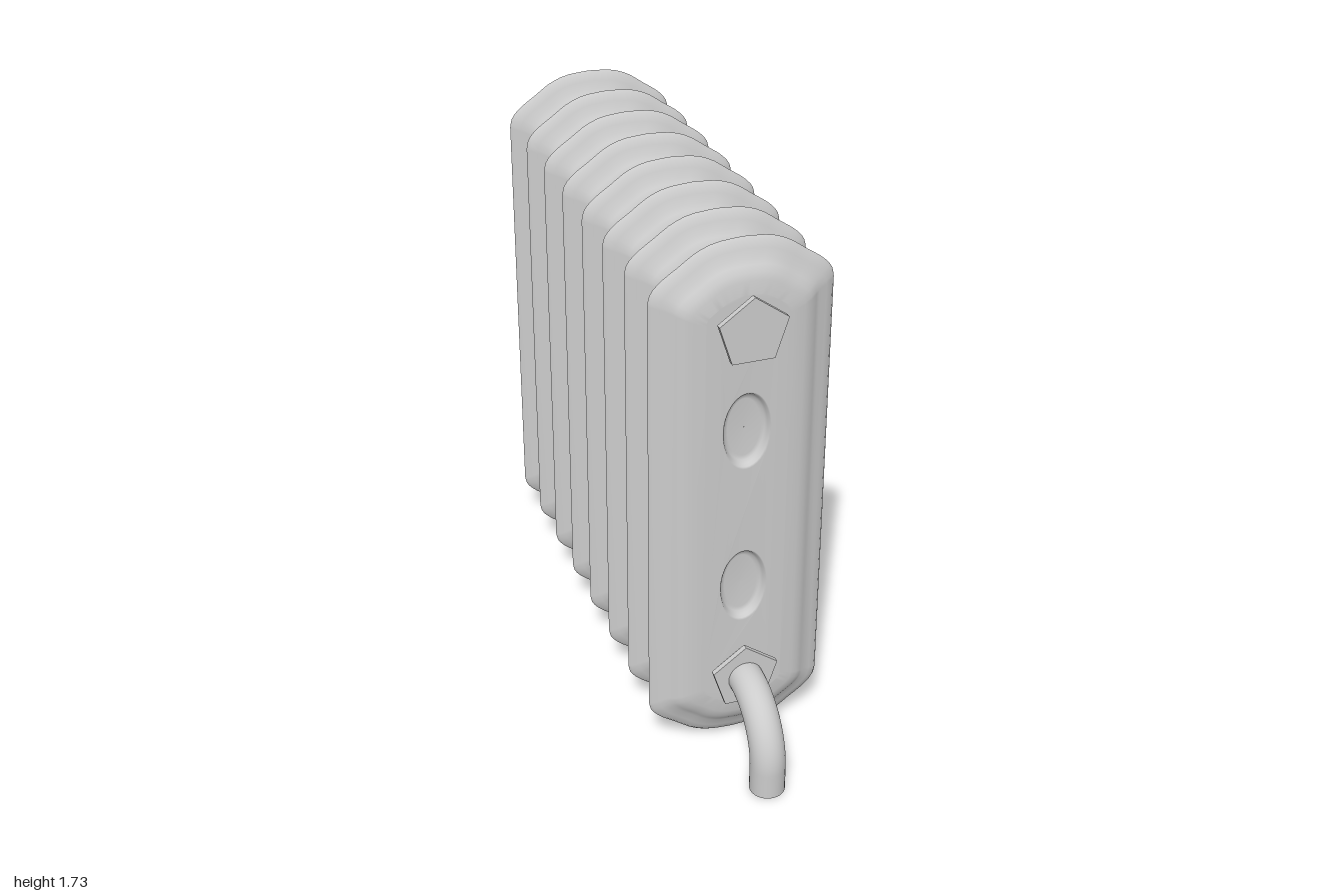
import * as THREE from 'three';
import { mergeGeometries, mergeVertices } from 'three/addons/utils/BufferGeometryUtils.js';

const MID_Y = 0.87, TOP_Y = 1.475, LOW_Y = 0.28;
const material = new THREE.MeshStandardMaterial({ color: 0xcccccc, side: THREE.DoubleSide });

// Quarter of the rounded end, as fractions of half width and cap height
const corner = new THREE.SplineCurve([
  [1, 0], [0.97, 0.2], [0.86, 0.4], [0.68, 0.61], [0.49, 0.83], [0.28, 0.96], [0, 1],
].map(([x, y]) => new THREE.Vector2(x, y))).getPoints(14);

// Counter-clockwise outline of a section, shrunk by an inset
function outline(inset) {
  const w = 0.28 - inset, h = 0.857 - inset, s = 0.69 - 0.4 * inset;
  const q = corner.map((p) => [p.x * w, s + p.y * (h - s)]);
  const half = [...q, ...q.slice(0, -1).reverse().map(([x, y]) => [-x, y])];
  return [...half, ...half.map(([x, y]) => [-x, -y])];
}

function ellipse(rx, ry, cy) {
  return Array.from({ length: 40 }, (_, i) => {
    const a = (i / 40) * Math.PI * 2;
    return [rx * Math.cos(a), cy + ry * Math.sin(a)];
  });
}

// Skin between successive loops, each { pts, z }
function loft(loops) {
  const n = loops[0].pts.length, pos = [], idx = [];
  loops.forEach(({ pts, z }) => pts.forEach(([x, y]) => pos.push(x, y, z)));
  for (let r = 0; r < loops.length - 1; r++) {
    for (let i = 0; i < n; i++) {
      const a = r * n + i, b = r * n + ((i + 1) % n);
      idx.push(a, b, b + n, a, b + n, a + n);
    }
  }
  const g = new THREE.BufferGeometry();
  g.setAttribute('position', new THREE.Float32BufferAttribute(pos, 3));
  g.setIndex(idx);
  return g;
}

const toShape = (pts, C = THREE.Shape) => new C(pts.map(([x, y]) => new THREE.Vector2(x, y)));

// Front half of a section: stepped rim, flat face and two oval dimples
function sectionHalf() {
  const rim = [[0, 0], [0.008, 0.01], [0.03, 0.02], [0.055, 0.028], [0.07, 0.041],
    [0.088, 0.053], [0.11, 0.06], [0.15, 0.065]];
  const parts = [loft(rim.map(([d, z]) => ({ pts: outline(d), z })))];
  const face = toShape(outline(0.15));
  for (const cy of [-0.27, 0.27]) {
    face.holes.push(toShape(ellipse(0.076, 0.128, cy), THREE.Path));
    const dimple = [[0.076, 0.128, 0.065], [0.072, 0.122, 0.062], [0.068, 0.116, 0.052],
      [0.063, 0.108, 0.043], [0.052, 0.095, 0.039], [0.0005, 0.0005, 0.038]];
    parts.push(loft(dimple.map(([rx, ry, z]) => ({ pts: ellipse(rx, ry, cy), z }))));
  }
  const flat = new THREE.ShapeGeometry(face);
  flat.translate(0, 0, 0.065);
  parts.push(flat);
  parts.forEach((g) => { g.deleteAttribute('normal'); g.deleteAttribute('uv'); });
  const merged = mergeVertices(mergeGeometries(parts), 1e-5);
  merged.computeVertexNormals();
  return merged;
}

export function createModel() {
  const group = new THREE.Group();
  const add = (name, geo, x = 0, y = 0, z = 0, parent = group) => {
    const m = new THREE.Mesh(geo, material);
    m.name = name;
    m.position.set(x, y, z);
    parent.add(m);
    return m;
  };

  // Eight radiator sections, each two mirrored halves
  const half = sectionHalf();
  for (let i = 0; i < 8; i++) {
    const section = new THREE.Group();
    section.name = 'section' + (i + 1);
    section.position.set(0, MID_Y, 0.65 - i * 0.2);
    add('frontShell', half, 0, 0, 0, section);
    add('backShell', half, 0, 0, 0, section).rotation.y = Math.PI;
    group.add(section);
  }

  // Flared oval necks joining the sections
  const neckProfile = [[0.082, -0.038], [0.067, -0.033], [0.057, -0.024], [0.053, -0.012],
    [0.053, 0.012], [0.057, 0.024], [0.067, 0.033], [0.082, 0.038]];
  const neck = new THREE.LatheGeometry(neckProfile.map((p) => new THREE.Vector2(...p)), 32);
  neck.rotateX(Math.PI / 2);
  neck.scale(1.32, 1, 1);
  for (let i = 0; i < 7; i++) {
    for (const y of [TOP_Y, LOW_Y]) add('neck', neck, 0, y, 0.55 - i * 0.2);
  }

  // Five-sided end plugs on both ends
  const pentagon = (r, depth) => {
    const pts = Array.from({ length: 5 }, (_, i) => {
      const a = Math.PI / 2 + (i * Math.PI * 2) / 5;
      return [r * Math.cos(a), r * Math.sin(a)];
    });
    const g = new THREE.ExtrudeGeometry(toShape(pts), { depth, bevelEnabled: false });
    g.translate(0, 0, -depth / 2);
    return g;
  };
  const plate = pentagon(0.11, 0.018), backing = pentagon(0.09, 0.03);
  for (const s of [1, -1]) {
    for (const y of [TOP_Y, LOW_Y]) {
      add('endPlug', plate, 0, y, -0.05 + s * 0.792);
      add('plugCollar', backing, 0, y, -0.05 + s * 0.775);
    }
  }

  // Supply pipe bending down to the floor
  const v = (y, z) => new THREE.Vector3(0, y, z);
  const path = new THREE.CurvePath();
  const k = 0.195 * 0.5523;
  path.add(new THREE.LineCurve3(v(0.278, 0.72), v(0.278, 0.75)));
  path.add(new THREE.CubicBezierCurve3(v(0.278, 0.75), v(0.278, 0.75 + k), v(0.083 + k, 0.945), v(0.083, 0.945)));
  path.add(new THREE.LineCurve3(v(0.083, 0.945), v(0, 0.945)));
  add('supplyPipe', new THREE.TubeGeometry(path, 40, 0.055, 28));
  add('pipeEnd', new THREE.CircleGeometry(0.055, 28), 0, 0.001, 0.945).rotation.x = Math.PI / 2;

  // Valve on the back end
  const valve = new THREE.Group();
  valve.name = 'valve';
  valve.position.set(0, 0, -0.965);
  group.add(valve);
  const cyl = (name, r, y0, y1) =>
    add(name, new THREE.CylinderGeometry(r, r, y1 - y0, 24), 0, (y0 + y1) / 2, 0, valve);
  cyl('valveBody', 0.029, 0.175, 0.4);
  cyl('valveCollar', 0.035, 0.398, 0.415);
  cyl('valveStem', 0.01, 0.41, 0.44);
  cyl('stemNut', 0.015, 0.415, 0.425);
  for (const a of [Math.PI / 4, -Math.PI / 4]) {
    add('valveHandle', new THREE.BoxGeometry(0.048, 0.006, 0.008), 0, 0.439, 0, valve).rotation.y = a;
  }
  add('valvePipe', new THREE.CylinderGeometry(0.029, 0.029, 0.14, 24), 0, 0.28, 0.075, valve).rotation.x = Math.PI / 2;

  return group;
}
